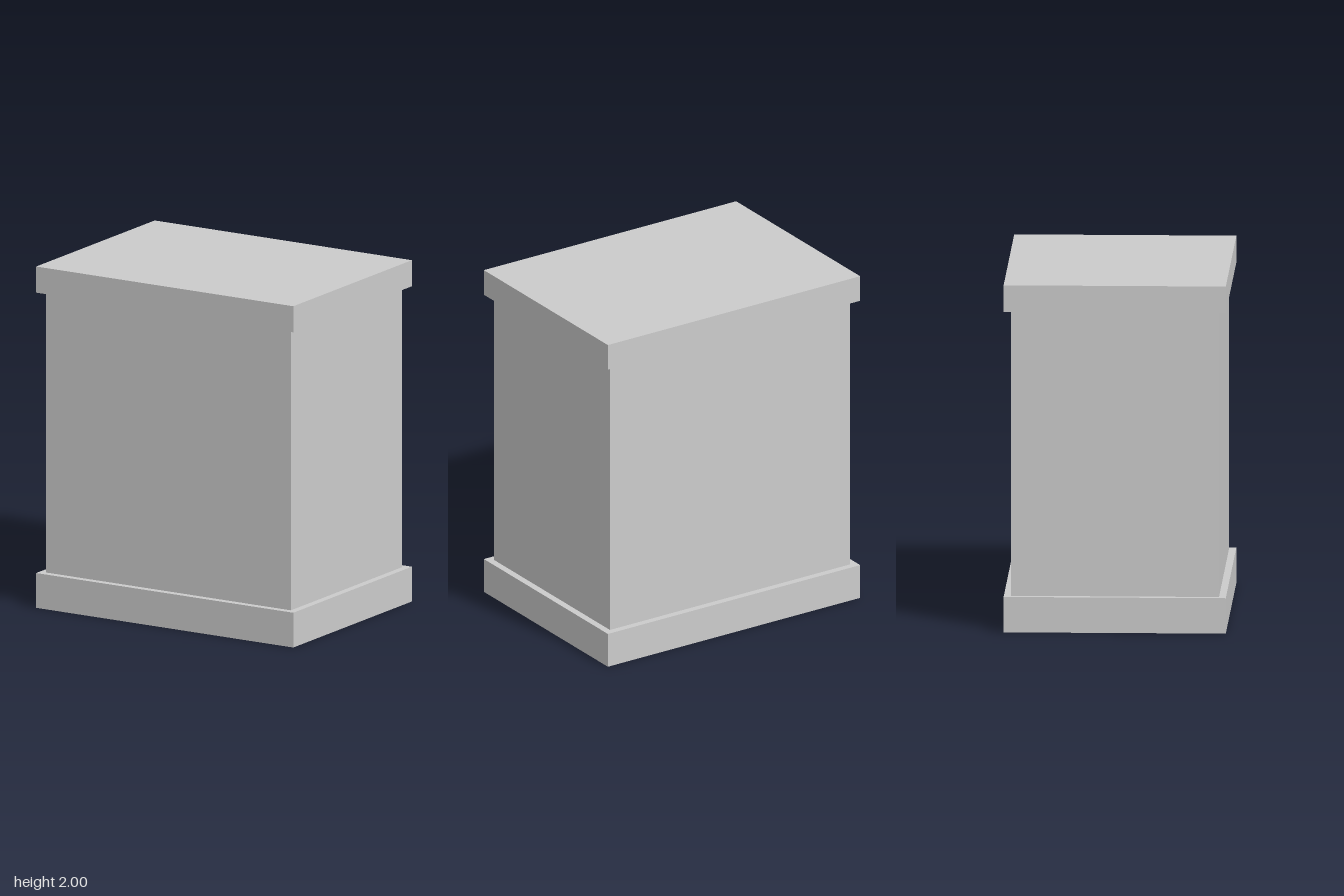
import * as THREE from 'three';

export function createModel() {
  const group = new THREE.Group();
  const material = new THREE.MeshStandardMaterial({ color: 0xcccccc, flatShading: true });

  // Adds a centred slab spanning the heights y0 to y1
  const addSlab = (name, width, depth, y0, y1) => {
    const mesh = new THREE.Mesh(new THREE.BoxGeometry(width, y1 - y0, depth), material);
    mesh.name = name;
    mesh.position.y = (y0 + y1) / 2;
    group.add(mesh);
  };

  addSlab('basePlinth', 1.727, 1.263, 0, 0.204);
  addSlab('body', 1.645, 1.183, 0.204, 1.847);
  addSlab('topCap', 1.727, 1.263, 1.847, 2);

  return group;
}
